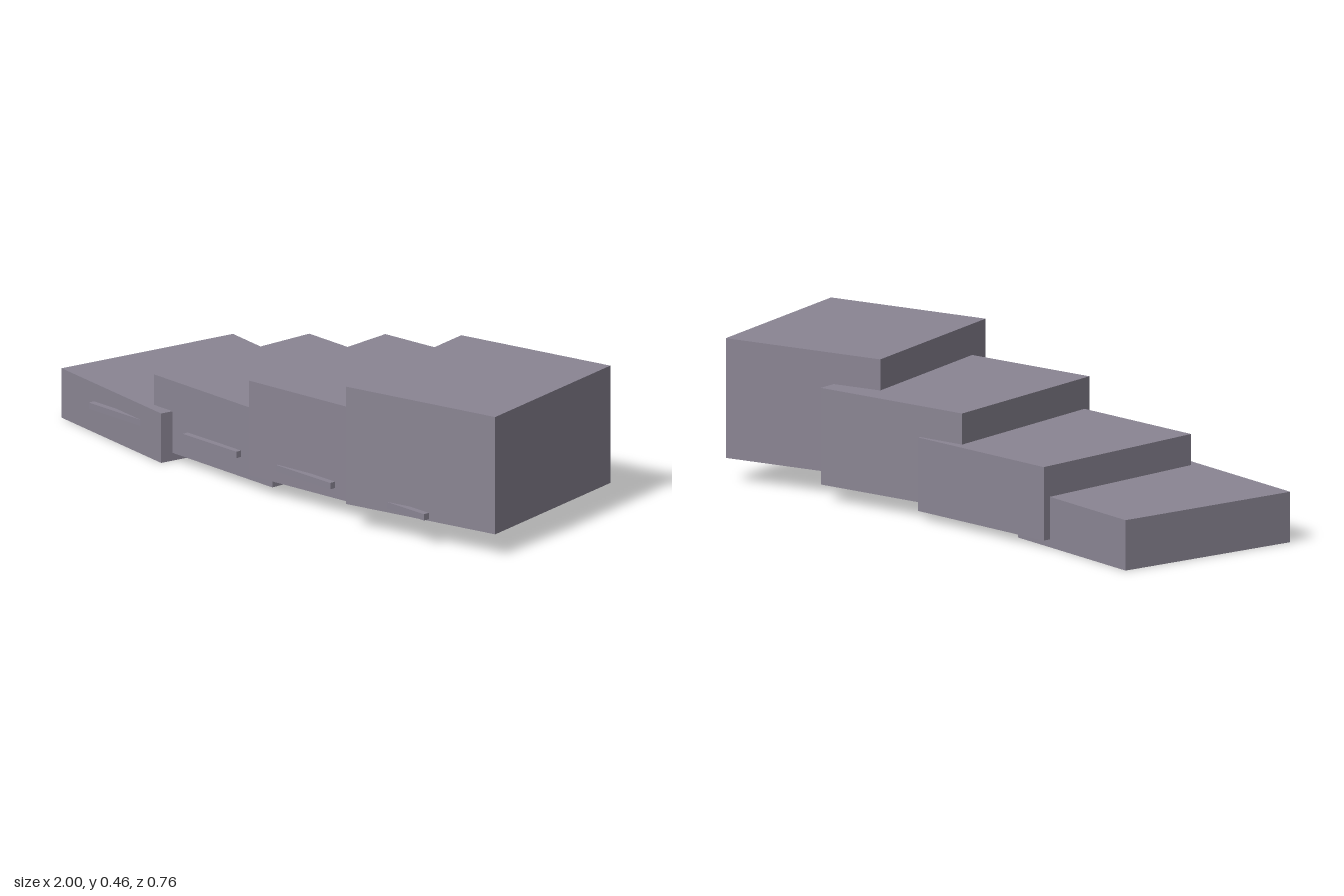
import * as THREE from 'three';

export function createModel() {
  const model = new THREE.Group();
  const stone = new THREE.MeshStandardMaterial({ color: 0x8a8593 });
  stone.name = 'greyViolet';

  const addBox = (name, [w, h, d], [x, y, z], turn = 0) => {
    const mesh = new THREE.Mesh(new THREE.BoxGeometry(w, h, d), stone);
    mesh.name = name;
    mesh.position.set(x, y, z);
    mesh.rotation.y = turn;
    model.add(mesh);
  };

  // Four overlapping blocks, each taller, higher and turned further than the last
  const turns = [-0.15, -0.02, 0.11, 0.24];
  turns.forEach((turn, i) => {
    const x = -0.672 + i * 0.439;
    const bottom = i * 0.0257;
    const height = 0.163 + i * 0.0747;
    addBox(`block${i + 1}`, [0.566, height, 0.647], [x, bottom + height / 2, -0.001], turn);
    // Straight bar set into the front face
    addBox(`frontBar${i + 1}`, [0.252, 0.021, 0.021], [x, 0.101, 0.333]);
  });

  return model;
}
